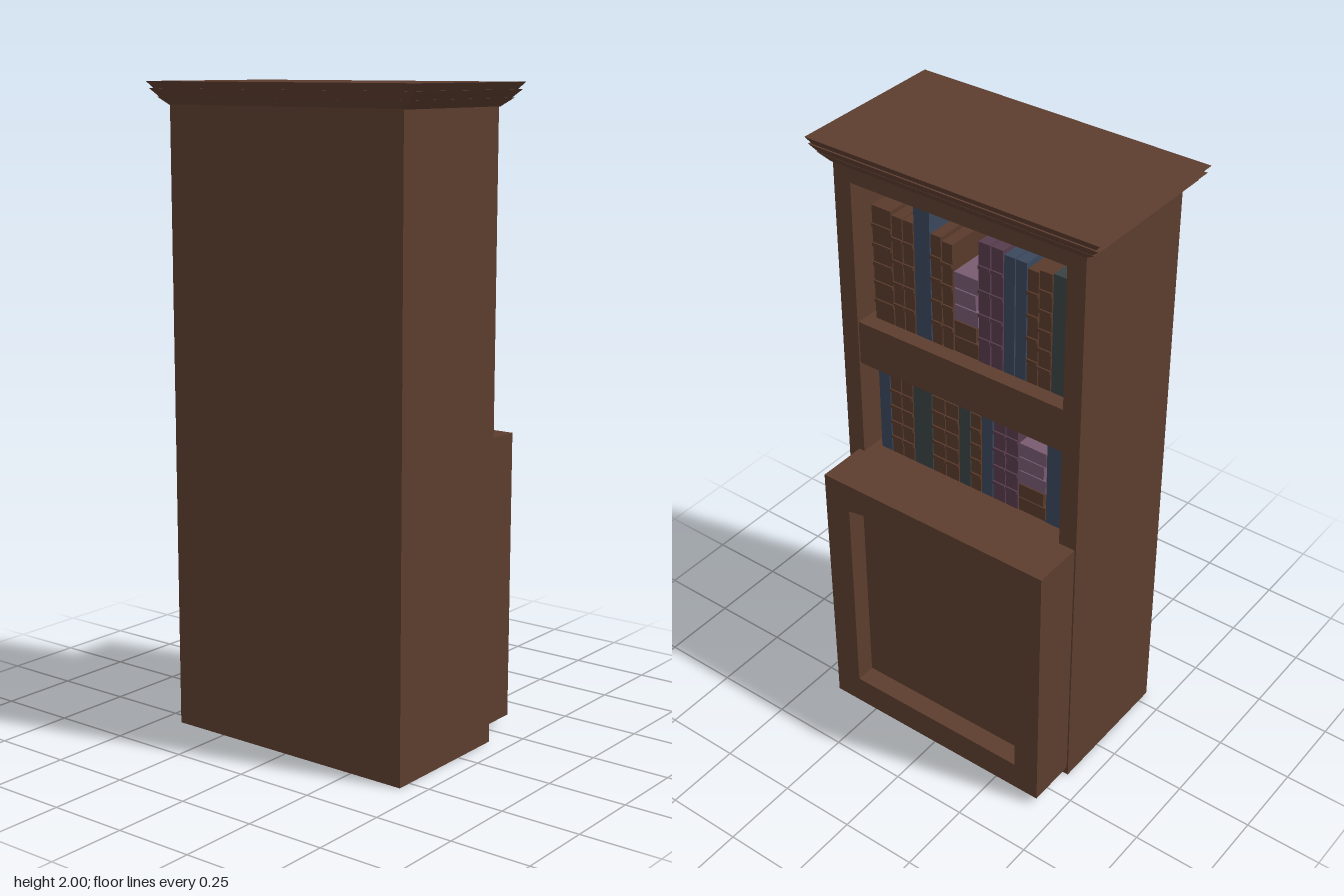
import * as THREE from 'three';

const mat = (name, color) => {
  const m = new THREE.MeshStandardMaterial({ color });
  m.name = name;
  return m;
};

export function createModel() {
  const wood = mat('brown wood', 0x5c3d2e);
  const covers = {
    brown: mat('brown leather', 0x593a2b),
    blue: mat('blue cloth', 0x3a475c),
    slate: mat('slate cloth', 0x3a4244),
    plum: mat('plum cloth', 0x573c4d),
    mauve: mat('mauve cloth', 0x785a70),
  };
  const root = new THREE.Group();
  root.name = 'bookcase';

  const add = (parent, name, geometry, material) => {
    const mesh = new THREE.Mesh(geometry, material);
    mesh.name = name;
    parent.add(mesh);
    return mesh;
  };
  // box given by its min and max corners
  const box = (parent, name, x0, x1, y0, y1, z0, z1, material = wood) => {
    const mesh = add(parent, name, new THREE.BoxGeometry(x1 - x0, y1 - y0, z1 - z0), material);
    mesh.position.set((x0 + x1) / 2, (y0 + y1) / 2, (z0 + z1) / 2);
    return mesh;
  };
  // rectangular board with a polygonal opening, extruded along z
  const frame = (name, x0, x1, y0, y1, z0, z1, opening) => {
    const points = [[x0, y0], [x1, y0], [x1, y1], [x0, y1]].map(p => new THREE.Vector2(...p));
    const shape = new THREE.Shape(points);
    shape.holes.push(new THREE.Path(opening.map(p => new THREE.Vector2(...p)).concat(new THREE.Vector2(...opening[0]))));
    const geometry = new THREE.ExtrudeGeometry(shape, { depth: z1 - z0, bevelEnabled: false });
    add(root, name, geometry, wood).position.z = z0;
  };

  // carcass, open towards -z
  frame('carcass', -0.43, 0.43, 0, 1.95, -0.165, 0.28,
    [[-0.37, 0.94], [-0.37, 1.88], [0.37, 1.88], [0.37, 0.94]]);
  box(root, 'backPanel', -0.43, 0.43, 0, 1.95, 0.28, 0.297);
  box(root, 'middleShelf', -0.37, 0.37, 1.27, 1.415, -0.16, 0.28);

  // projecting lower cabinet with an arched recessed door panel
  box(root, 'lowerCabinet', -0.425, 0.39, 0.03, 0.94, -0.265, -0.165);
  frame('cabinetDoorFrame', -0.425, 0.39, 0.03, 0.94, -0.33, -0.265,
    [[-0.338, 0.128], [-0.338, 0.84], [-0.02, 0.9], [0.298, 0.84], [0.298, 0.128]]);

  // cornice: stacked slabs, each tapering inwards at its underside
  const cornice = new THREE.Group();
  cornice.name = 'cornice';
  root.add(cornice);
  const tiers = [ // y0, y1, bottom half width and depth, top half width and depth
    [1.93, 1.955, 0.432, 0.233, 0.468, 0.25],
    [1.95, 1.979, 0.455, 0.246, 0.488, 0.262],
    [1.975, 2.0, 0.472, 0.254, 0.495, 0.2675],
  ];
  for (const [y0, y1, bw, bd, tw, td] of tiers) {
    const g = new THREE.BoxGeometry(2, y1 - y0, 2).toNonIndexed();
    const p = g.attributes.position;
    for (let i = 0; i < p.count; i++) {
      const top = p.getY(i) > 0;
      p.setX(i, p.getX(i) * (top ? tw : bw));
      p.setZ(i, p.getZ(i) * (top ? td : bd));
    }
    g.computeVertexNormals();
    add(cornice, 'corniceTier', g, wood).position.set(0, (y0 + y1) / 2, 0.0625);
  }

  // books: [width, height, cover, rib count]; a 'stack' lies flat
  const bookRow = (name, base, books) => {
    const row = new THREE.Group();
    row.name = name;
    root.add(row);
    let x = 0.345;
    for (const [w, h, cover, ribs = 0] of books) {
      const x0 = x - w, gap = 0.002;
      if (cover === 'stack') {
        ['brown', 'brown', 'mauve', 'mauve', 'mauve'].forEach((c, i) =>
          box(row, 'lyingBook', x0 + gap + (i % 2) * 0.008, x - gap, base + i * h / 5, base + (i + 0.93) * h / 5,
            -0.108, 0.1, covers[c]));
      } else {
        box(row, 'book', x0 + gap, x - gap, base, base + h, -0.11, 0.1, covers[cover]);
        for (let i = 1; i <= ribs; i++) {
          const y = base + h * i / (ribs + 1);
          box(row, 'spineRib', x0 + gap, x - gap, y - 0.006, y + 0.006, -0.115, -0.11, covers[cover]);
        }
      }
      x = x0;
    }
  };
  bookRow('upperBooks', 1.415, [
    [0.073, 0.38, 'brown', 5], [0.04, 0.37, 'brown', 4], [0.04, 0.37, 'brown', 4],
    [0.06, 0.43, 'blue'], [0.04, 0.36, 'brown', 4], [0.04, 0.35, 'brown', 4],
    [0.088, 0.27, 'stack'], [0.044, 0.395, 'plum', 4], [0.044, 0.395, 'plum', 4],
    [0.04, 0.385, 'blue'], [0.04, 0.385, 'blue'],
    [0.04, 0.37, 'brown', 4], [0.045, 0.38, 'brown', 5], [0.05, 0.385, 'slate'],
  ]);
  bookRow('lowerBooks', 0.94, [
    [0.045, 0.31, 'blue'], [0.044, 0.29, 'brown', 4], [0.044, 0.29, 'brown', 4],
    [0.073, 0.3, 'slate'], [0.05, 0.28, 'brown', 4], [0.05, 0.28, 'brown', 4],
    [0.044, 0.3, 'slate'], [0.04, 0.28, 'brown', 4], [0.044, 0.3, 'blue'],
    [0.046, 0.31, 'plum', 4], [0.046, 0.31, 'plum', 4], [0.1, 0.25, 'stack'], [0.055, 0.31, 'blue'],
  ]);
  return root;
}
